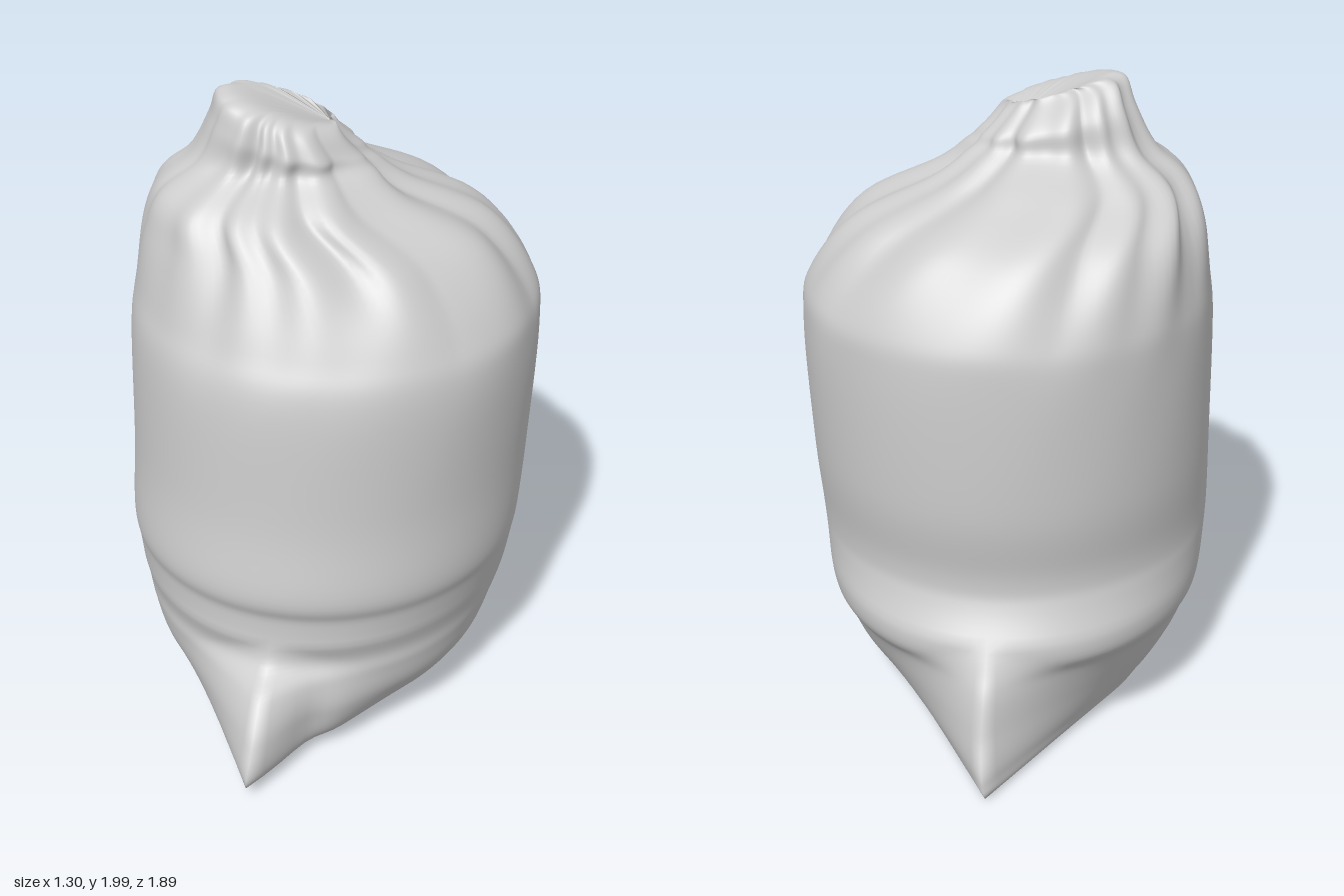
import * as THREE from 'three';

const SEGMENTS = 144, STEPS = 7;

// Sack cross-sections: height, x min, x max, z back, z front, pleat depth
const ROWS = [
  [0.045, -0.01, 0.01, -0.01, 0.01, 0],
  [0.035, -0.25, 0.20, -0.45, 0.42, 0],
  [0.010, -0.42, 0.33, -0.88, 0.78, 0],
  [0.07, -0.50, 0.43, -0.94, 0.945, 0],
  [0.19, -0.57, 0.52, -0.885, 0.91, 0],
  [0.30, -0.61, 0.56, -0.835, 0.82, 0],
  [0.38, -0.635, 0.585, -0.78, 0.71, 0],
  [0.52, -0.647, 0.61, -0.69, 0.69, 0],
  [0.62, -0.65, 0.625, -0.67, 0.712, 0],
  [0.85, -0.648, 0.637, -0.70, 0.68, 0],
  [1.24, -0.643, 0.652, -0.695, 0.65, 0],
  [1.40, -0.63, 0.62, -0.66, 0.585, 0.02],
  [1.58, -0.605, 0.475, -0.535, 0.48, 0.055],
  [1.70, -0.545, 0.23, -0.35, 0.385, 0.06],
  [1.79, -0.44, 0.13, -0.19, 0.235, 0.04],
  [1.87, -0.375, 0.09, -0.16, 0.22, 0.035],
  [1.94, -0.335, 0.04, -0.08, 0.18, 0.025],
  [1.95, -0.25, 0.01, -0.06, 0.11, 0.015],
  [1.885, -0.03, -0.02, -0.05, -0.04, 0],
];

// Catmull-Rom blend of the section table
function section(t) {
  const last = ROWS.length - 1;
  const i = Math.min(Math.floor(t), last - 1), f = t - i;
  const row = k => ROWS[Math.min(Math.max(k, 0), last)];
  const [a, b, c, d] = [row(i - 1), row(i), row(i + 1), row(i + 2)];
  return b.map((_, k) => 0.5 * (2 * b[k] + (c[k] - a[k]) * f
    + (2 * a[k] - 5 * b[k] + 4 * c[k] - d[k]) * f * f
    + (3 * b[k] - a[k] - 3 * c[k] + d[k]) * f * f * f));
}

const bump = (v, centre, width) => Math.exp(-(((v - centre) / width) ** 2));

// Uneven gathered pleats, 0 on a ridge and 1 in a valley
function pleat(a, y) {
  const twist = a + 0.35 * (y - 1.4);
  const broad = 1 - Math.abs(Math.sin(3.5 * twist + 0.7 * Math.sin(2 * twist)));
  const fine = 0.5 + 0.5 * Math.sin(13 * twist + 1.6 * Math.sin(3 * twist + 1));
  return 0.55 * broad + 0.45 * fine;
}

// Elliptical body whose front and back corners are straight tangents to a tip
function outline(ex, ez, c, s) {
  const eb = Math.min(ez, ex + 0.1);
  const body = 1 / Math.hypot(c / ex, s / eb);
  if (s * body <= eb * eb / ez) return body;
  const slope = Math.sqrt(ez * ez - eb * eb) / ex;
  return ez / (s + slope * c);
}

function sackPoint(t, a) {
  const [y, x0, x1, z0, z1, fold] = section(t);
  const cx = (x0 + x1) / 2, cz = (z0 + z1) / 2;
  const ex = Math.max((x1 - x0) / 2, 0.003), ez = Math.max((z1 - z0) / 2, 0.003);
  const c = Math.cos(a), s = Math.sin(a);
  let r = outline(ex, ez, Math.abs(c), Math.abs(s));

  // Gathered cloth below the knot
  r -= fold * (pleat(a, y) - 0.35);
  // Deep crease running down from the knot at the front left
  r -= 0.05 * bump(a, 1.05, 0.13) * bump(y, 1.64, 0.12);
  // Tucked side of the front bottom corner
  r -= 0.05 * Math.min(1, r / 0.4) * bump(a, 1.4, 0.1) * bump(y, 0.14, 0.14);

  // The knot leans up toward the right
  const tilt = -0.3 * THREE.MathUtils.smoothstep(y, 1.76, 1.94);
  const x = cx + Math.max(r, 0.002) * c;
  return [x, Math.max(0, y + tilt * (x - cx)), cz + Math.max(r, 0.002) * s];
}

function sackGeometry() {
  const rings = (ROWS.length - 1) * STEPS;
  const positions = [], index = [];
  for (let j = 0; j <= rings; j++)
    for (let i = 0; i < SEGMENTS; i++)
      positions.push(...sackPoint(j / STEPS, (i / SEGMENTS) * Math.PI * 2));
  for (let j = 0; j < rings; j++)
    for (let i = 0; i < SEGMENTS; i++) {
      const p = j * SEGMENTS + i, q = j * SEGMENTS + (i + 1) % SEGMENTS;
      index.push(p, p + SEGMENTS, q, q, p + SEGMENTS, q + SEGMENTS);
    }
  // Close both ends with a fan
  const base = positions.length / 3, top = rings * SEGMENTS;
  positions.push(0, 0.045, 0, -0.025, 1.884, -0.045);
  for (let i = 0; i < SEGMENTS; i++) {
    const k = (i + 1) % SEGMENTS;
    index.push(base, i, k, base + 1, top + k, top + i);
  }
  const geometry = new THREE.BufferGeometry();
  geometry.setAttribute('position', new THREE.Float32BufferAttribute(positions, 3));
  geometry.setIndex(index);
  geometry.computeVertexNormals();
  return geometry;
}

export function createModel() {
  const cloth = new THREE.MeshStandardMaterial({ color: 0xcccccc });
  cloth.name = 'grey cloth';
  const sack = new THREE.Mesh(sackGeometry(), cloth);
  sack.name = 'sack';
  const model = new THREE.Group();
  model.name = 'tied sack';
  model.add(sack);
  return model;
}
